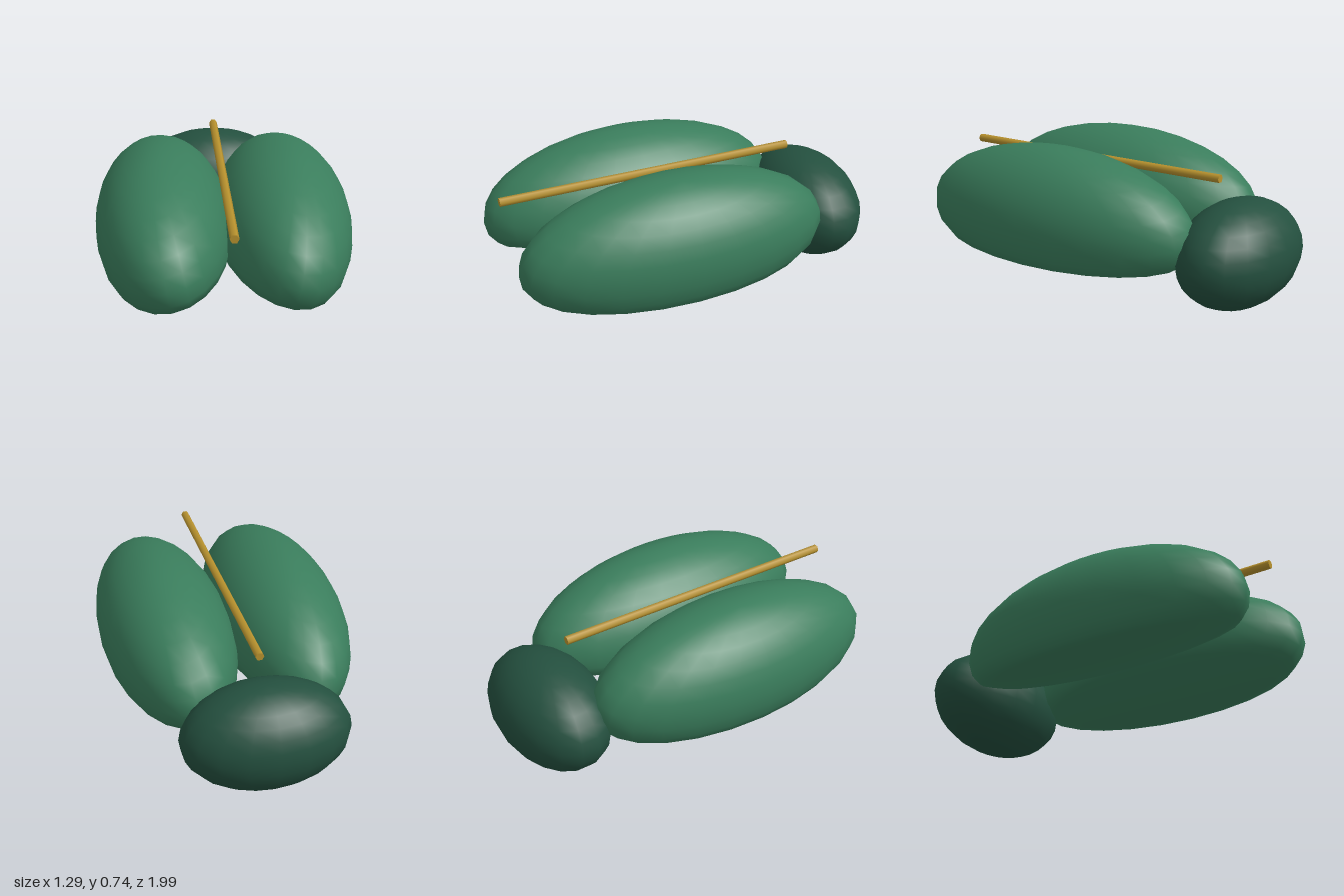
import * as THREE from 'three';
import { mergeVertices } from 'three/addons/utils/BufferGeometryUtils.js';

const shellGreen = new THREE.MeshStandardMaterial({ name: 'shellGreen', color: 0x3a7d5c });
const darkGreen = new THREE.MeshStandardMaterial({ name: 'darkGreen', color: 0x24503f });
const gold = new THREE.MeshStandardMaterial({ name: 'gold', color: 0xb8922e });

// Domed wing case: an ellipsoid whose underside is pressed nearly flat
function wingCaseGeometry() {
  let geo = new THREE.SphereGeometry(1, 24, 16);
  const pos = geo.attributes.position;
  const cut = -0.33;
  for (let i = 0; i < pos.count; i++) {
    const y = pos.getY(i);
    if (y < cut) pos.setY(i, cut + (y - cut) * 0.22);
  }
  geo.scale(0.344, 0.375, 0.815);
  geo.deleteAttribute('uv');
  geo.deleteAttribute('normal');
  geo = mergeVertices(geo, 1e-5);
  geo.computeVertexNormals();
  return geo;
}

export function createModel() {
  const model = new THREE.Group();
  model.name = 'beetleShell';

  // Pair of wing cases, each leaning outwards
  const caseGeo = wingCaseGeometry();
  for (const [name, side] of [['leftWingCase', 1], ['rightWingCase', -1]]) {
    const wing = new THREE.Mesh(caseGeo, shellGreen);
    wing.name = name;
    wing.position.set(side * 0.301, 0.371, 0.177);
    wing.rotation.z = -side * THREE.MathUtils.degToRad(10);
    model.add(wing);
  }

  // Rounded thorax at the back end
  const thoraxGeo = new THREE.SphereGeometry(1, 18, 14);
  thoraxGeo.rotateY(Math.PI / 2);
  thoraxGeo.scale(0.426, 0.273, 0.27);
  const thorax = new THREE.Mesh(thoraxGeo, darkGreen);
  thorax.name = 'thorax';
  thorax.position.set(0, 0.273, -0.73);
  model.add(thorax);

  // Six-sided gold rod above the seam
  const rodGeo = new THREE.CylinderGeometry(0.022, 0.022, 1.59, 6);
  rodGeo.rotateY(Math.PI / 6);
  rodGeo.rotateX(Math.PI / 2);
  const rod = new THREE.Mesh(rodGeo, gold);
  rod.name = 'seamRod';
  rod.position.set(0, 0.63, 0.185);
  model.add(rod);

  return model;
}
